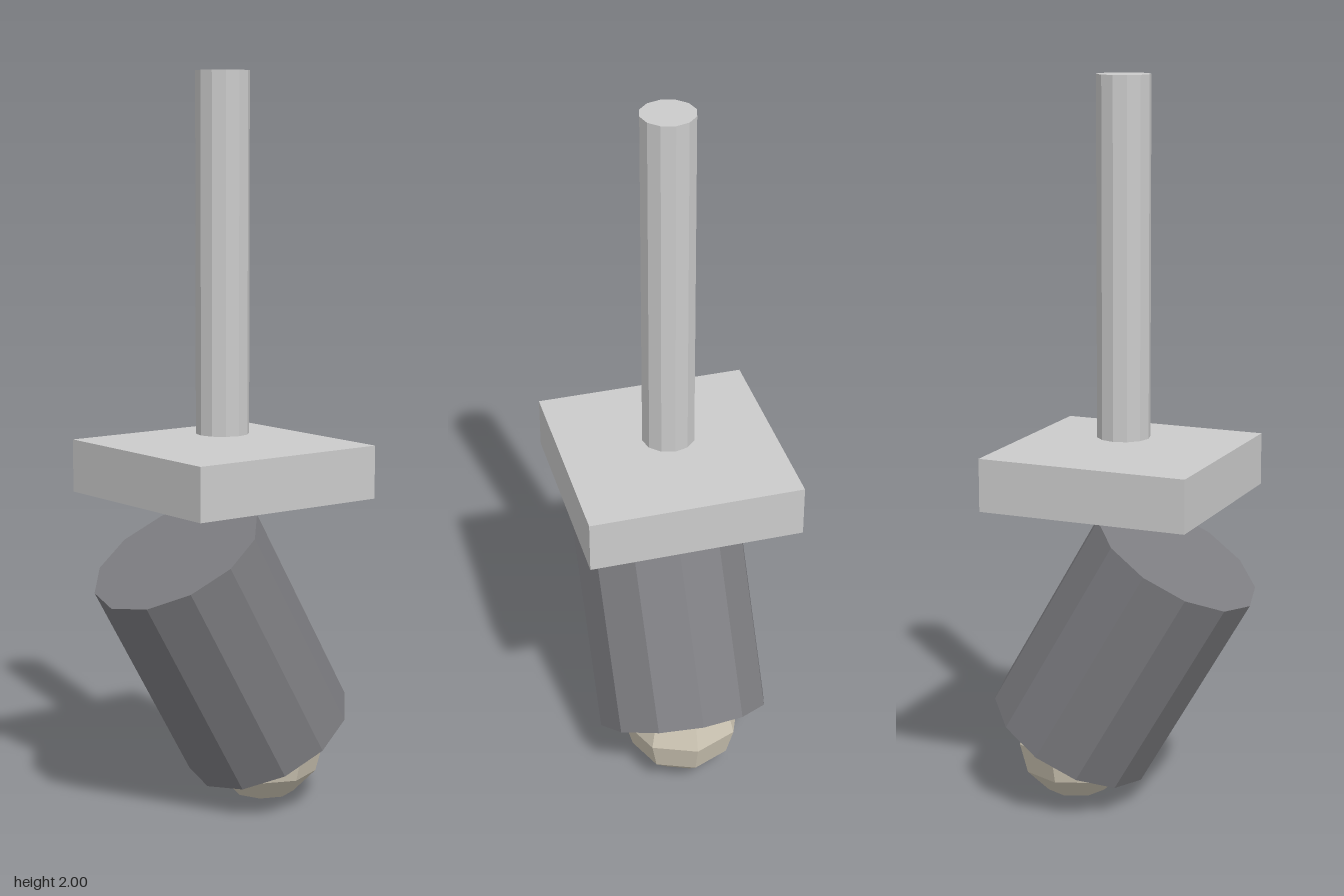
import * as THREE from 'three';

function addPart(group, name, geometry, color, y, z = 0) {
  const material = new THREE.MeshStandardMaterial({ color, flatShading: true });
  const mesh = new THREE.Mesh(geometry, material);
  mesh.name = name;
  mesh.position.set(0, y, z);
  group.add(mesh);
  return mesh;
}

export function createModel() {
  const model = new THREE.Group();
  model.name = 'hangingSpotlight';

  // Hanging rod and the square mount beneath it, with a small gap between
  addPart(model, 'rod', new THREE.CylinderGeometry(0.072, 0.072, 0.957, 12), 0xcccccc, 1.5215);
  addPart(model, 'mountPlate', new THREE.BoxGeometry(0.578, 0.143, 0.578), 0xcccccc, 0.946);

  // Lamp housing, its upper end tipped toward the front
  const housing = addPart(model, 'lampHousing', new THREE.CylinderGeometry(0.24, 0.24, 0.625, 12), 0x7e7e82, 0.462);
  housing.rotation.x = Math.PI / 6;

  // Bulb showing at the lower end of the housing
  addPart(model, 'bulb', new THREE.SphereGeometry(0.168, 8, 6), 0xd2cab8, 0.17, -0.143);

  return model;
}
